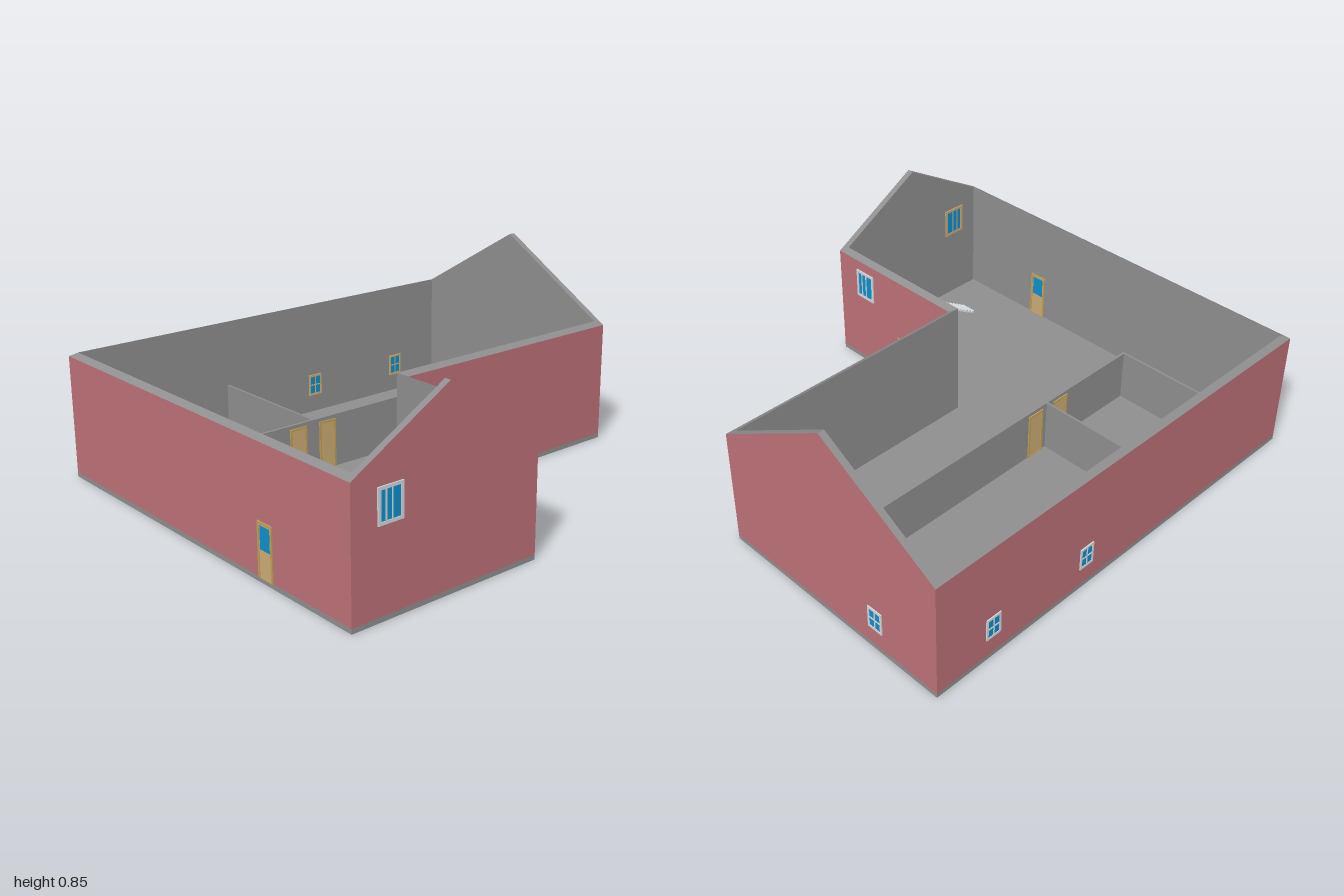
import * as THREE from 'three';

const mat = (name, color, side = THREE.FrontSide) => {
  const m = new THREE.MeshStandardMaterial({ color, side });
  m.name = name;
  return m;
};

export function createModel() {
  const brick = mat('brick', 0xbb7077);
  const plaster = mat('plaster', 0x8e8e8e);
  const white = mat('white frame', 0xd4d8dc);
  const trim = mat('door trim', 0xc0a055);
  const wood = mat('wood', 0xcaaa74);
  const glass = mat('glass', 0x0d8ecb);

  const house = new THREE.Group();
  house.name = 'house';
  const add = (parent, name, geometry, material, x = 0, y = 0, z = 0) => {
    const m = new THREE.Mesh(geometry, material);
    m.name = name;
    m.position.set(x, y, z);
    parent.add(m);
    return m;
  };
  const box = (w, h, d) => new THREE.BoxGeometry(w, h, d);

  // Footprint ring: [outer x, outer z, outer top, inner x, inner z, inner top]
  const FLOOR = 0.02, EAVE = 0.525, T = 0.028, IN = EAVE + T * 0.577;
  const X = 0.905, LX = 0.21, WZ = 0.15;
  const ring = [
    [-X, 1, EAVE, -X + T, 1 - T, IN],
    [X, 1, EAVE, X - T, 1 - T, IN],
    [X, 0.575, 0.77, X - T, 0.575, 0.77],
    [X, WZ, EAVE, X - T, WZ + T, IN],
    [LX, WZ, EAVE, LX - T, WZ + T, IN],
    [LX, -1, EAVE, LX - T, -1 + T, IN],
    [-0.3475, -1, 0.85, -0.3475, -1 + T, 0.85],
    [-X, -1, EAVE, -X + T, -1 + T, IN],
  ];

  // Floor slab
  const plan = new THREE.Shape(ring.map(p => new THREE.Vector2(p[0], -p[1])));
  const slab = new THREE.ExtrudeGeometry(plan, { depth: FLOOR, bevelEnabled: false });
  add(house, 'floorSlab', slab.rotateX(-Math.PI / 2), plaster);

  // Outer walls: brick outside, plaster inside and on the sloping tops
  const faces = { outer: [], inner: [], top: [] };
  const quad = (list, a, b, c, d) => list.push(...a, ...b, ...c, ...a, ...c, ...d);
  ring.forEach((p, i) => {
    const q = ring[(i + 1) % ring.length];
    const out = (r, y) => [r[0], y, r[1]];
    const inn = (r, y) => [r[3], y, r[4]];
    quad(faces.outer, out(p, FLOOR), out(q, FLOOR), out(q, q[2]), out(p, p[2]));
    quad(faces.inner, inn(q, FLOOR), inn(p, FLOOR), inn(p, p[5]), inn(q, q[5]));
    quad(faces.top, out(p, p[2]), out(q, q[2]), inn(q, q[5]), inn(p, p[5]));
  });
  const wallMesh = (name, list, material) => {
    const g = new THREE.BufferGeometry();
    g.setAttribute('position', new THREE.Float32BufferAttribute(list, 3));
    g.computeVertexNormals();
    add(house, name, g, material);
  };
  wallMesh('brickWalls', faces.outer, brick);
  wallMesh('innerWalls', faces.inner, plaster);
  wallMesh('wallTops', faces.top, plaster);

  // Interior partitions
  const PH = 0.23, PT = 0.012, PX = -0.26;
  add(house, 'longPartition', box(PT, PH, 1.732), plaster, PX, FLOOR + PH / 2, -0.106);
  for (const z of [0.26, 0.76]) {
    add(house, 'crossPartition', box(0.617, PH, 0.01), plaster, -0.5685, FLOOR + PH / 2, z - 0.005);
  }

  // Thin frame plate with pane openings [x0, x1, y0, y1]
  const framePlate = (w, h, panes) => {
    const rect = (P, x0, x1, y0, y1) =>
      new P([[x0, y0], [x1, y0], [x1, y1], [x0, y1]].map(p => new THREE.Vector2(...p)));
    const s = rect(THREE.Shape, -w / 2, w / 2, -h / 2, h / 2);
    s.holes = panes.map(p => rect(THREE.Path, ...p));
    return new THREE.ExtrudeGeometry(s, { depth: 0.005, bevelEnabled: false });
  };

  // Put a fitting on both faces of a wall; angle turns it to the outward side
  const place = (name, x, y, z, angle, depth, build) => {
    const g = new THREE.Group();
    g.name = name;
    g.position.set(x, y, z);
    g.rotation.y = angle;
    for (const inside of [false, true]) {
      const side = new THREE.Group();
      side.name = inside ? 'insideFace' : 'outsideFace';
      if (inside) {
        side.rotation.y = Math.PI;
        side.position.z = -depth;
      }
      build(side, inside);
      g.add(side);
    }
    house.add(g);
  };

  const windowUnit = (name, w, h, panes, x, y, z, angle) =>
    place(name, x, y, z, angle, T, (side, inside) => {
      const flipped = inside ? panes.map(([a, b, c, d]) => [-b, -a, c, d]) : panes;
      add(side, 'windowFrame', framePlate(w, h, flipped), inside ? wood : white);
      add(side, 'windowGlass', box(w - 0.01, h - 0.01, 0.003), glass, 0, 0, 0.001);
    });

  const doorUnit = (name, x, z, angle, depth, glazed) =>
    place(name, x, FLOOR + 0.107, z, angle, depth, side => {
      add(side, 'doorFrame', framePlate(0.084, 0.214, [[-0.033, 0.033, -0.105, 0.098]]), trim);
      add(side, 'doorLeaf', box(0.068, 0.205, 0.003), wood, 0, -0.003, 0.001);
      if (glazed) add(side, 'doorGlass', box(0.056, 0.09, 0.002), glass, 0, 0.047, 0.0025);
    });

  // Tall three-pane windows of the wing
  const tall = [[-0.042, -0.022], [-0.017, 0.004], [0.009, 0.042]].map(p => [...p, -0.055, 0.055]);
  windowUnit('gableWindow', 0.11, 0.135, tall, X, 0.4125, 0.835, Math.PI / 2);
  windowUnit('wingBackWindow', 0.106, 0.135, tall, 0.738, 0.4125, WZ, Math.PI);

  // Small four-pane windows of the long part
  const small = [];
  for (const px of [-0.0275, 0.0025]) {
    for (const py of [-0.04, 0.0025]) small.push([px, px + 0.025, py, py + 0.0375]);
  }
  windowUnit('backWindow', 0.072, 0.1, small, -0.595, 0.15, -1, Math.PI);
  for (const z of [-0.725, -0.23]) {
    windowUnit('sideWindow', 0.072, 0.1, small, -X, 0.15, z, -Math.PI / 2);
  }

  // Doors
  doorUnit('frontDoor', 0.44, 1, 0, T, true);
  doorUnit('wingBackDoor', 0.49, WZ, Math.PI, T, true);
  for (const z of [0.185, 0.335]) doorUnit('roomDoor', PX + PT / 2, z, Math.PI / 2, PT, false);

  // Open staircase in the wing
  const stairs = new THREE.Group();
  stairs.name = 'staircase';
  const steps = 18, z0 = 0.76, run = 0.39 / steps, rise = 0.23 / steps;
  for (let i = 0; i < steps; i++) {
    add(stairs, 'tread', box(0.076, 0.006, run), white,
      0.697, FLOOR + rise * (i + 1) - 0.003, z0 - run * (i + 0.5));
    add(stairs, 'riser', box(0.076, rise, 0.003), white,
      0.697, FLOOR + rise * (i + 0.5), z0 - run * i - 0.0015);
  }
  house.add(stairs);
  return house;
}
